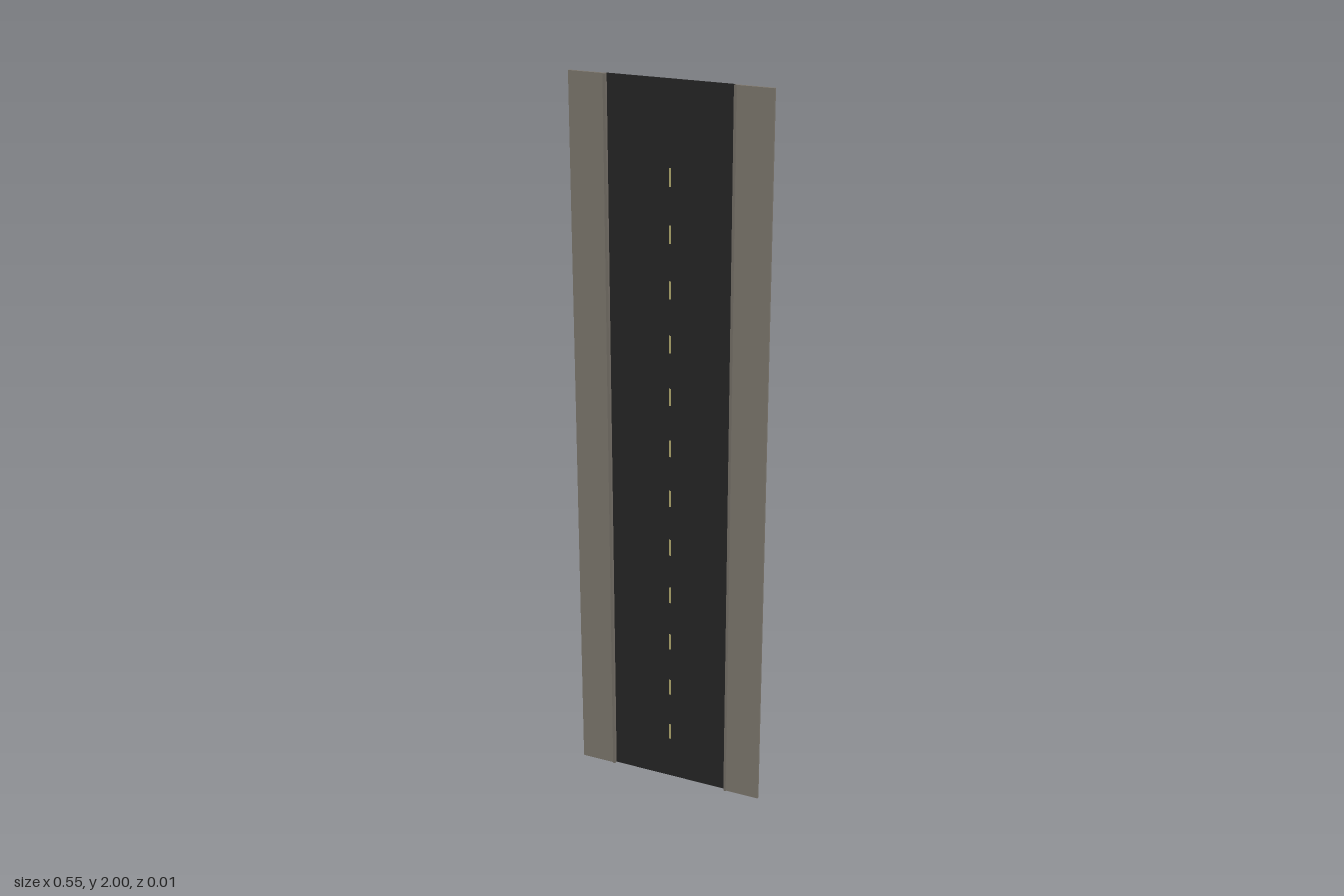
import * as THREE from 'three';

const LENGTH = 2;

// Box given by its x, y and z ranges
function slab(name, material, [x0, x1], [y0, y1], [z0, z1]) {
  const geometry = new THREE.BoxGeometry(x1 - x0, y1 - y0, z1 - z0);
  const mesh = new THREE.Mesh(geometry, material);
  mesh.position.set((x0 + x1) / 2, (y0 + y1) / 2, (z0 + z1) / 2);
  mesh.name = name;
  return mesh;
}

export function createModel() {
  const group = new THREE.Group();
  group.name = 'roadSegment';
  const asphalt = new THREE.MeshStandardMaterial({ color: 0x262626 });
  const paving = new THREE.MeshStandardMaterial({ color: 0x807a70 });
  const kerbstone = new THREE.MeshStandardMaterial({ color: 0x78726a });
  const paint = new THREE.MeshStandardMaterial({ color: 0xb5ad70 });
  const full = [0, LENGTH];

  // Road surface
  group.add(slab('roadSurface', asphalt, [-0.171, 0.171], full, [-0.0075, -0.0045]));

  // Pavement and raised kerb on each side
  for (const [side, s] of [['left', 1], ['right', -1]]) {
    const range = (a, b) => (s > 0 ? [a, b] : [-b, -a]);
    group.add(slab(side + 'Pavement', paving, range(0.177, 0.273), full, [-0.005, 0.002]));
    group.add(slab(side + 'Kerb', kerbstone, range(0.170, 0.177), full, [-0.005, 0.005]));
  }

  // Dashed centre line
  const dashes = new THREE.Group();
  dashes.name = 'centreLine';
  for (let i = 0; i < 12; i++) {
    const y = 0.148 + i * 0.1462;
    dashes.add(slab('dash' + (i + 1), paint, [-0.003, 0.003], [y - 0.024, y + 0.024], [-0.005, -0.0037]));
  }
  group.add(dashes);
  return group;
}
